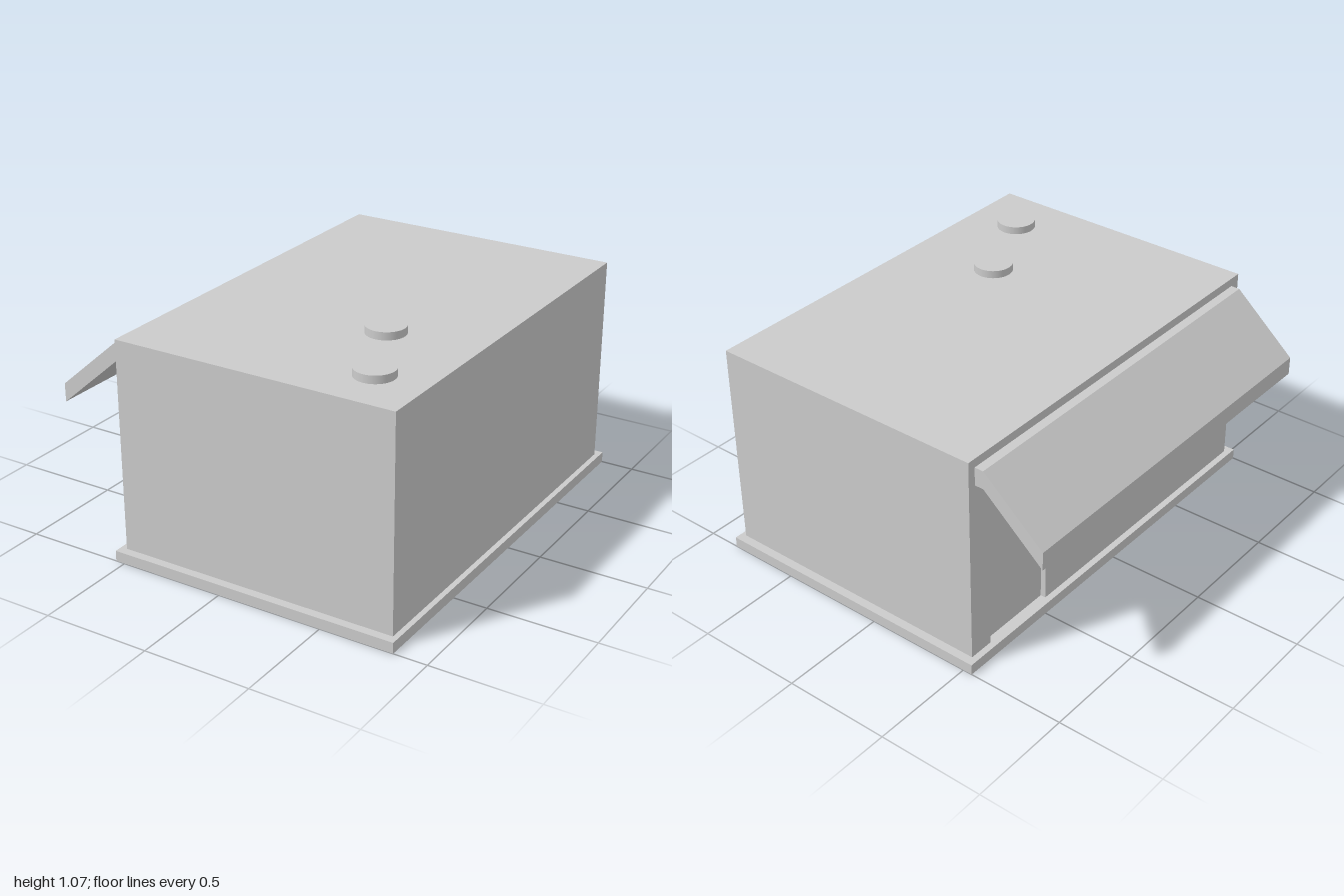
import * as THREE from 'three';

const material = new THREE.MeshStandardMaterial({ color: 0xcccccc });

function add(group, name, geometry, x = 0, y = 0, z = 0) {
  const mesh = new THREE.Mesh(geometry, material);
  mesh.name = name;
  mesh.position.set(x, y, z);
  group.add(mesh);
  return mesh;
}

const polygon = (points) => new THREE.Shape(points.map(([x, y]) => new THREE.Vector2(x, y)));
const extrude = (shape, depth) => new THREE.ExtrudeGeometry(shape, { depth, bevelEnabled: false });

export function createModel() {
  const kiosk = new THREE.Group();
  kiosk.name = 'kiosk';

  // Base slab, slightly wider than the walls
  add(kiosk, 'base', new THREE.BoxGeometry(1.39, 0.05, 2), 0.15, 0.025, 0);

  // Main body, set back behind the serving wall
  const recess = 0.025;
  const wallX = -0.515, coreX = wallX + recess, rightX = 0.82;
  add(kiosk, 'body', new THREE.BoxGeometry(rightX - coreX, 0.98, 1.92), (coreX + rightX) / 2, 0.54, 0);

  // Serving wall drawn in (z, y): a door notch at the foot and a wide window hole
  const wall = polygon([
    [-0.96, 0.05], [-0.84, 0.05], [-0.84, 0.72], [-0.465, 0.72], [-0.465, 0.05],
    [0.96, 0.05], [0.96, 1.03], [-0.96, 1.03],
  ]);
  wall.holes.push(polygon([[-0.27, 0.33], [-0.27, 0.85], [0.91, 0.85], [0.91, 0.33]]));
  add(kiosk, 'servingWall', extrude(wall, recess), coreX).rotation.y = -Math.PI / 2;

  // Awning: short flat bracket, then a sloping panel
  const awning = polygon([
    [wallX, 0.99], [-0.557, 0.99], [-0.85, 0.735], [-0.85, 0.65], [-0.557, 0.905], [wallX, 0.905],
  ]);
  add(kiosk, 'awning', extrude(awning, 1.83), 0, 0, -0.923);

  // Round roof vents
  for (const [x, z] of [[0.39, 0.305], [0.578, 0.708]]) {
    add(kiosk, 'roofVent', new THREE.CylinderGeometry(0.09, 0.09, 0.037, 48), x, 1.0475, z);
  }
  return kiosk;
}
